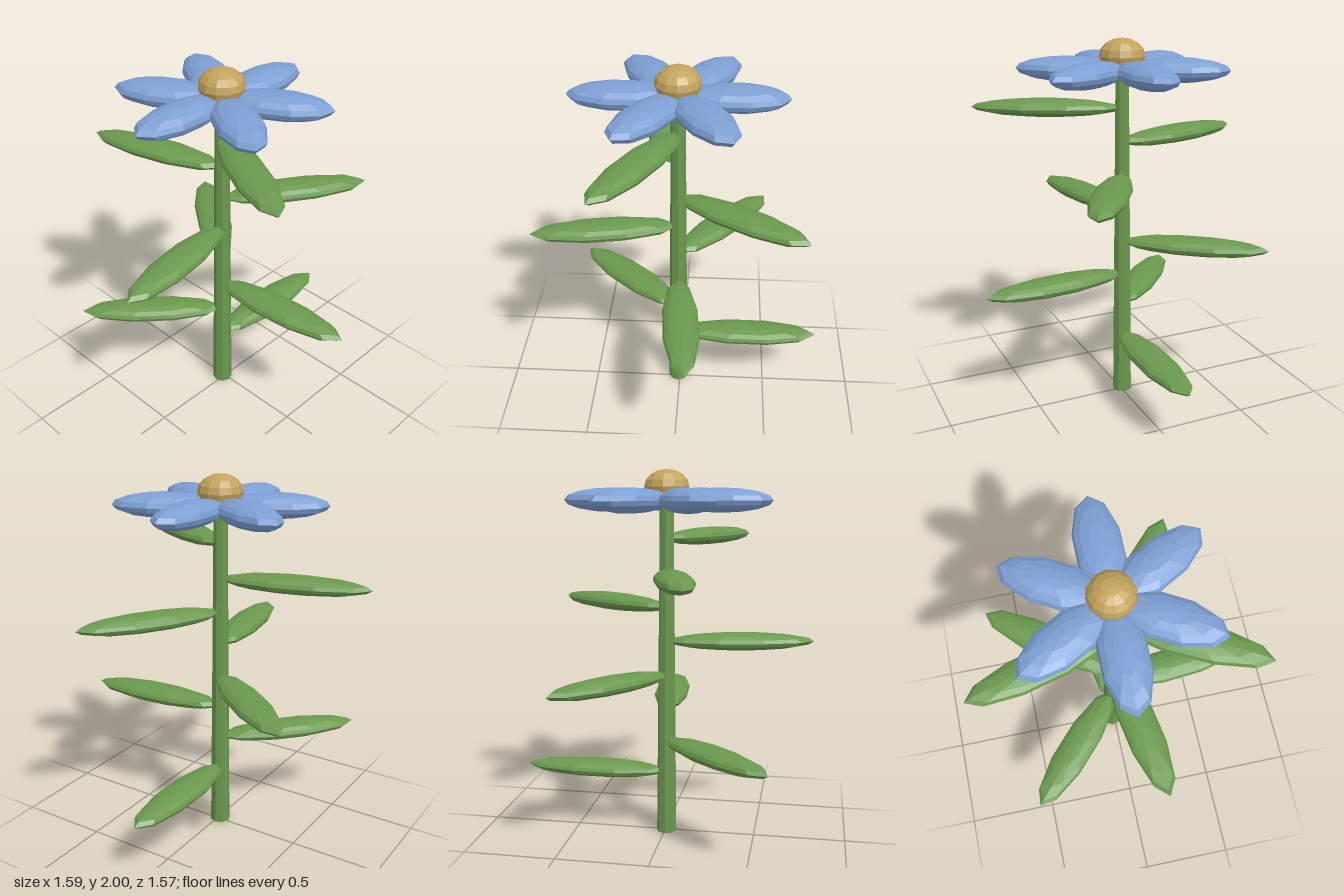
import * as THREE from 'three';

const LEAF_COUNT = 8;
const PETAL_COUNT = 6;
const GOLDEN_ANGLE = THREE.MathUtils.degToRad(137.5);

function makeMaterial(name, color) {
  const material = new THREE.MeshStandardMaterial({ color, flatShading: true });
  material.name = name;
  return material;
}

// Faceted flattened blade that reaches from the stem axis out along +x
function bladeGeometry(length, thickness, width) {
  const geometry = new THREE.SphereGeometry(1, 10, 8);
  geometry.scale(length / 2, thickness / 2, width / 2);
  geometry.translate(length / 2, 0, 0);
  return geometry;
}

export function createModel() {
  const model = new THREE.Group();
  model.name = 'flower';

  const green = makeMaterial('leafGreen', 0x6a994e);
  const blue = makeMaterial('petalBlue', 0x7d9fd3);
  const gold = makeMaterial('centreGold', 0xc2a35c);

  // All parts share one axis, slightly off the middle of the leaf spread
  const plant = new THREE.Group();
  plant.name = 'plant';
  plant.position.set(-0.01, 0, -0.012);
  model.add(plant);

  function addPart(name, geometry, material, y, angle = 0) {
    const mesh = new THREE.Mesh(geometry, material);
    mesh.name = name;
    mesh.position.y = y;
    mesh.rotation.y = angle;
    plant.add(mesh);
  }

  // Tapered eight-sided stem
  addPart('stem', new THREE.CylinderGeometry(0.037, 0.055, 1.84, 8), green, 0.92);

  // Leaves spiral up the stem
  const leaf = bladeGeometry(0.8, 0.096, 0.2);
  for (let i = 0; i < LEAF_COUNT; i++) {
    addPart(`leaf${i + 1}`, leaf, green, 0.35 + i * 0.184, i * GOLDEN_ANGLE);
  }

  // Ring of petals
  const petal = bladeGeometry(0.56, 0.13, 0.24);
  for (let i = 0; i < PETAL_COUNT; i++) {
    addPart(`petal${i + 1}`, petal, blue, 1.84, (i * Math.PI * 2) / PETAL_COUNT);
  }

  // Domed flower centre
  const centre = new THREE.SphereGeometry(0.12, 12, 8);
  centre.scale(1, 0.75, 1);
  addPart('flowerCentre', centre, gold, 1.91);

  return model;
}
